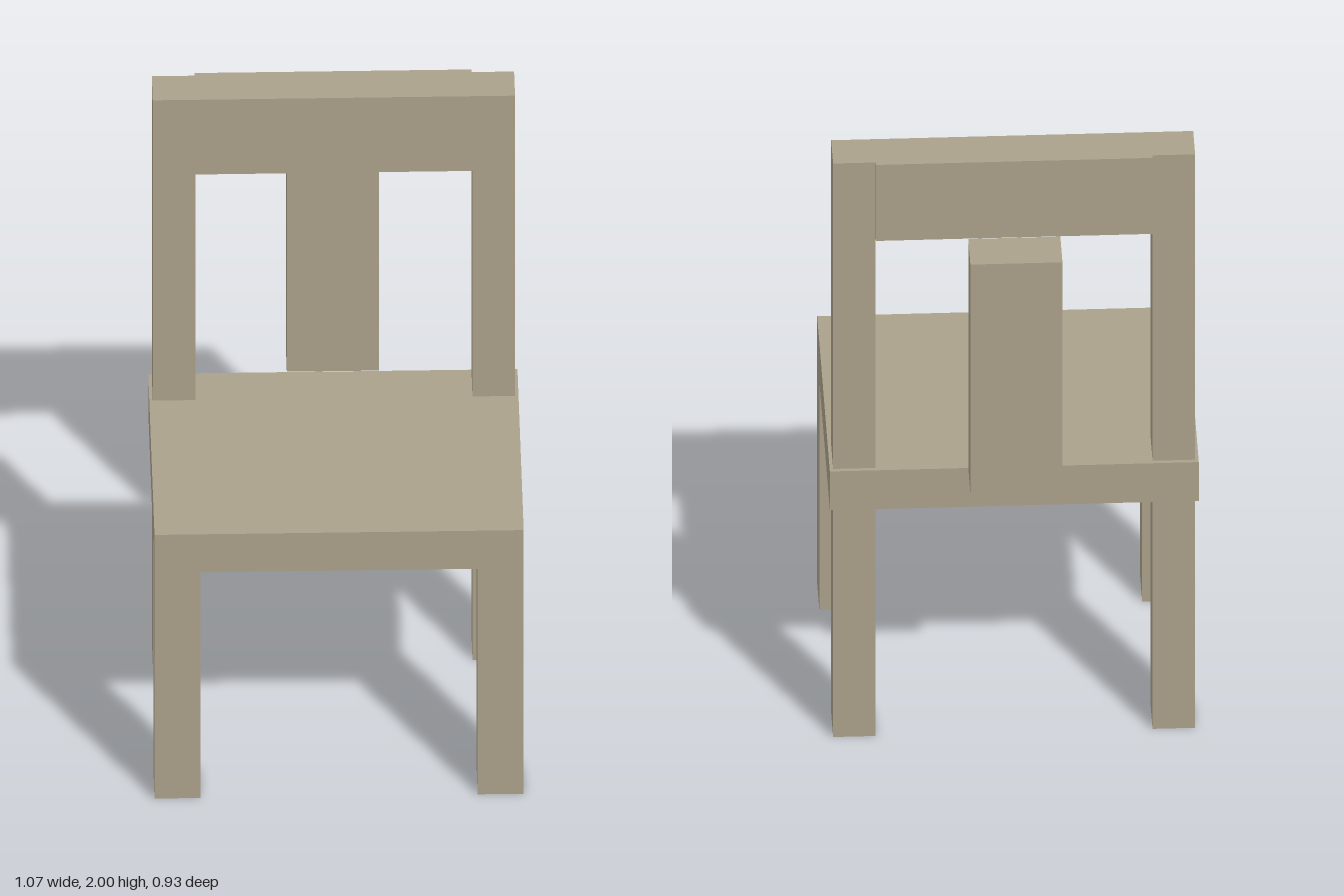
import * as THREE from 'three';

export function createModel() {
  const group = new THREE.Group();
  group.name = 'chair';
  const wood = new THREE.MeshStandardMaterial({ color: 0xaba18b, side: THREE.DoubleSide });
  wood.name = 'wood';

  // Box given by its lower and upper limits on each axis
  function addBox(name, [x0, x1], [y0, y1], [z0, z1], hollow = false) {
    const geometry = new THREE.BoxGeometry(x1 - x0, y1 - y0, z1 - z0);
    if (hollow) {
      // Drop the top and bottom faces, leaving an open tube
      const index = Array.from(geometry.index.array);
      index.splice(12, 12);
      geometry.setIndex(index);
      geometry.clearGroups();
    }
    const mesh = new THREE.Mesh(geometry, wood);
    mesh.name = name;
    mesh.position.set((x0 + x1) / 2, (y0 + y1) / 2, (z0 + z1) / 2);
    group.add(mesh);
  }

  const seatBottom = 0.8, seatTop = 0.935;
  const railBottom = 1.735, top = 2;
  const postZ = [-0.32, -0.2];

  // Seat slab
  addBox('seat', [-0.533, 0.533], [seatBottom, seatTop], [-0.333, 0.467]);

  // Legs, open at the foot, and back posts, mirrored left and right
  for (const [side, s] of [['left', 1], ['right', -1]]) {
    const span = (a, b) => (s > 0 ? [a, b] : [-b, -a]);
    addBox(side + 'FrontLeg', span(0.4, 0.533), [0, seatBottom], [0.335, 0.467], true);
    addBox(side + 'BackLeg', span(0.4, 0.523), [0, seatBottom], postZ, true);
    addBox(side + 'BackPost', span(0.4, 0.523), [seatTop, top], postZ);
  }

  // Top rail between the posts, and the splat set behind it
  addBox('topRail', [-0.4, 0.4], [railBottom, top], [-0.333, -0.2]);
  addBox('backSplat', [-0.133, 0.133], [seatTop, railBottom], [-0.467, -0.335]);

  return group;
}
